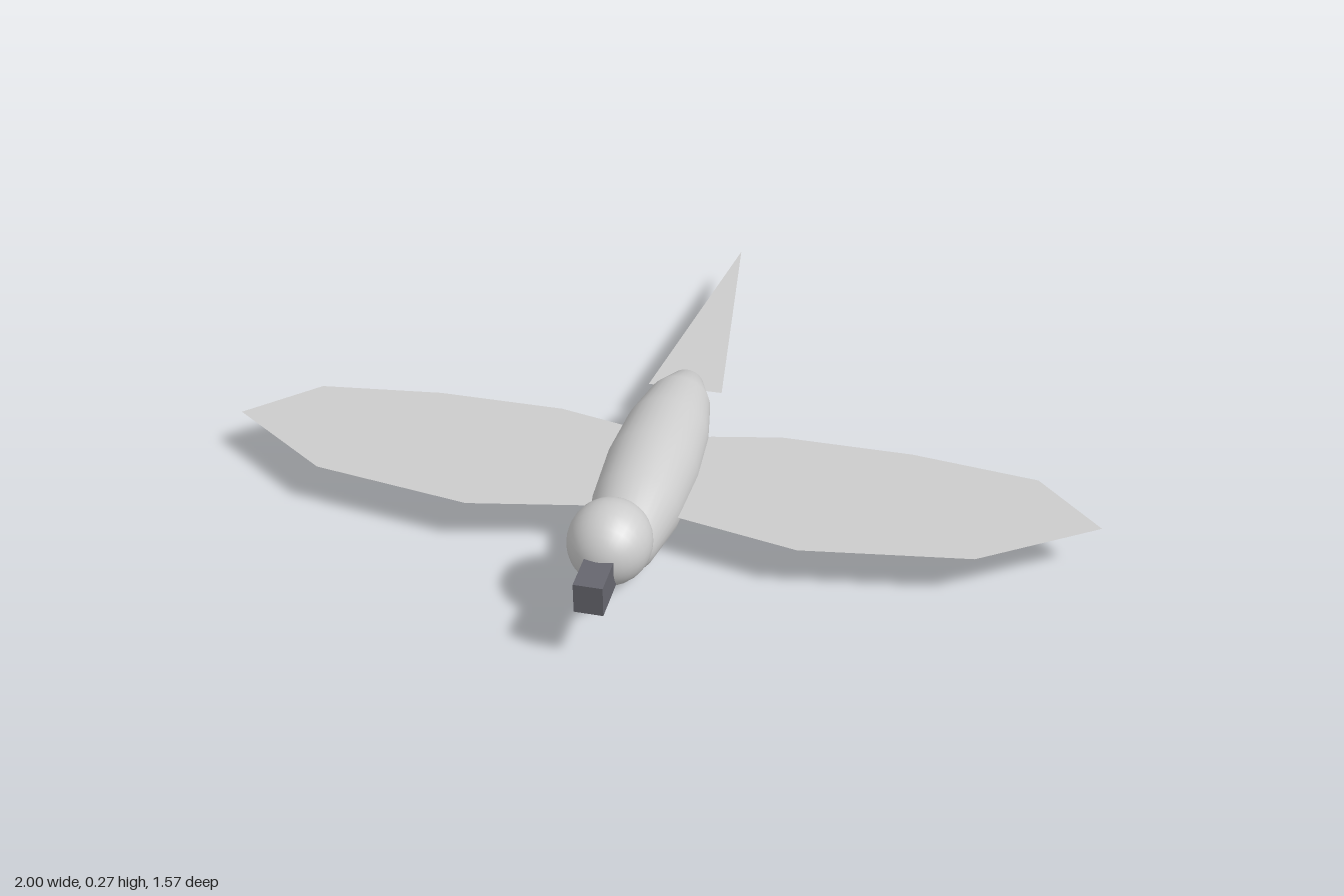
import * as THREE from 'three';

const plumage = new THREE.MeshStandardMaterial({ color: 0xcccccc, side: THREE.DoubleSide });
plumage.name = 'plumage grey';
const horn = new THREE.MeshStandardMaterial({ color: 0x66666e });
horn.name = 'beak grey';

const BODY_Y = 0.105;

// Smooth ellipsoid with its poles along z
function ellipsoid(name, widthSegs, heightSegs, radii, position) {
  const geometry = new THREE.SphereGeometry(1, widthSegs, heightSegs);
  geometry.rotateX(Math.PI / 2);
  geometry.scale(...radii);
  const mesh = new THREE.Mesh(geometry, plumage);
  mesh.name = name;
  mesh.position.set(...position);
  return mesh;
}

// Flat horizontal sheet from [x, z] outline points, facing up
function sheet(name, outline) {
  const shape = new THREE.Shape(outline.map(([x, z]) => new THREE.Vector2(x, -z)));
  const geometry = new THREE.ShapeGeometry(shape);
  geometry.rotateX(-Math.PI / 2);
  const mesh = new THREE.Mesh(geometry, plumage);
  mesh.name = name;
  mesh.position.y = BODY_Y;
  return mesh;
}

export function createModel() {
  const model = new THREE.Group();
  model.name = 'bird';

  // Body and head
  model.add(ellipsoid('body', 32, 8, [0.107, 0.105, 0.393], [0, BODY_Y, 0.247]));
  model.add(ellipsoid('head', 32, 16, [0.09, 0.09, 0.097], [0, 0.18, 0.612]));

  // Beak
  const beak = new THREE.Mesh(new THREE.BoxGeometry(0.062, 0.07, 0.12), horn);
  beak.name = 'beak';
  beak.position.set(0, 0.162, 0.726);
  model.add(beak);

  // Wings, mirrored across the body
  const wing = [
    [0, 0.12], [0.107, 0.09], [0.265, 0.057], [0.567, 0.057], [0.855, 0.093],
    [1, 0.24], [0.742, 0.407], [0.37, 0.462], [0.107, 0.41], [0, 0.38],
  ];
  model.add(sheet('leftWing', wing));
  model.add(sheet('rightWing', wing.map(([x, z]) => [-x, z])));

  // Tail
  model.add(sheet('tail', [[0, -0.786], [-0.09, -0.094], [0.09, -0.094]]));

  return model;
}
